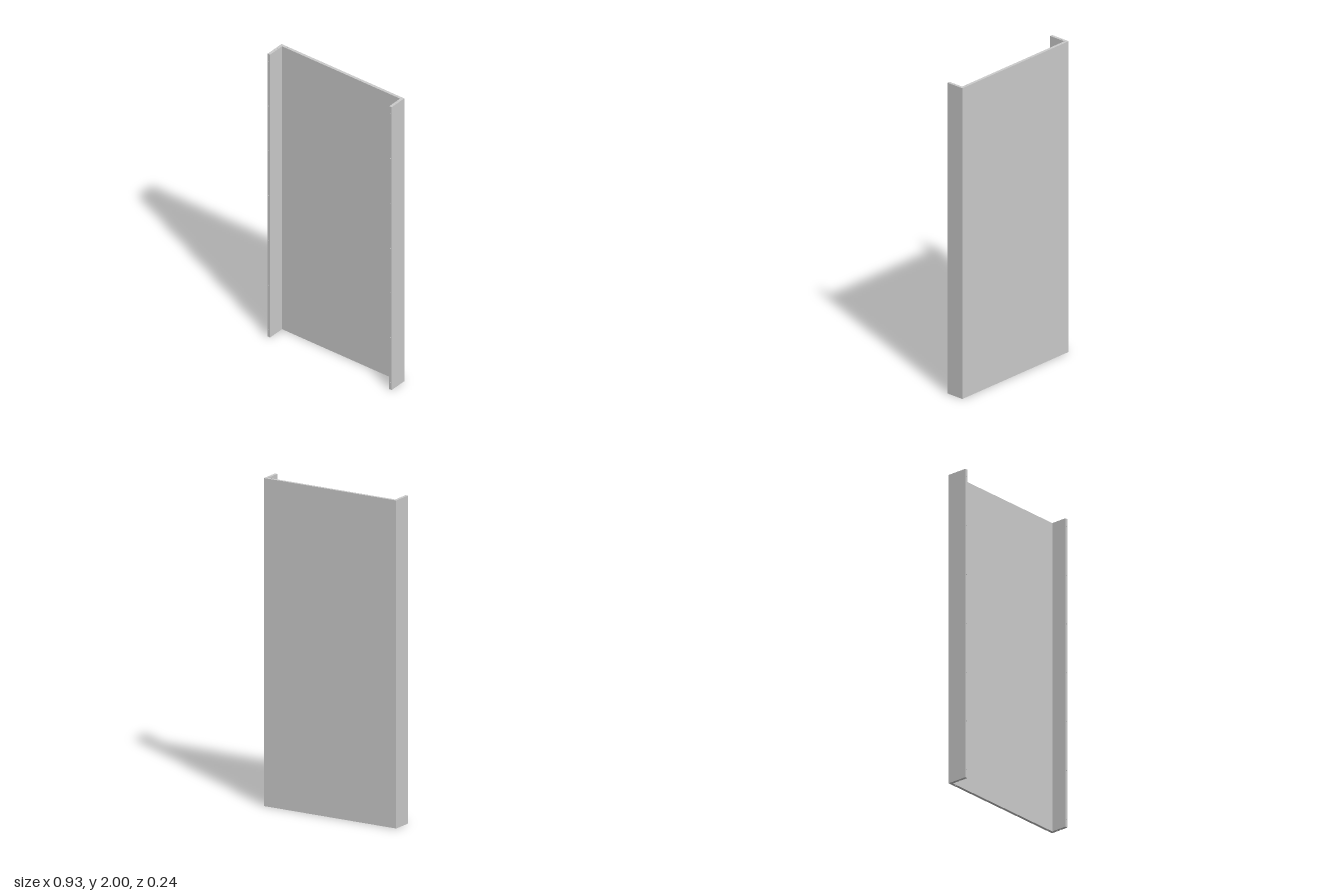
import * as THREE from 'three';

const T = 0.018;          // board thickness
const W = 0.923;          // panel width
const H = 2;              // height
const LEFT = 0.131, RIGHT = 0.12;  // flange depths
const D = 0.02;           // drilled hole depth
const R = 0.0028;         // drilled hole radius

function polygon(points, holes = []) {
  const shape = new THREE.Shape(points.map(([x, y]) => new THREE.Vector2(x, y)));
  for (const [x, y] of holes) {
    shape.holes.push(new THREE.Path().absarc(x, y, R, 0, Math.PI * 2, true));
  }
  return shape;
}

function extrude(shape, depth) {
  return new THREE.ExtrudeGeometry(shape, { depth, bevelEnabled: false, curveSegments: 6 });
}

export function createModel() {
  const model = new THREE.Group();
  const material = new THREE.MeshStandardMaterial({ color: 0xcccccc });
  const add = (name, geometry, x, y, z) => {
    const mesh = new THREE.Mesh(geometry, material);
    mesh.name = name;
    mesh.position.set(x, y, z);
    model.add(mesh);
  };

  // U-shaped plan: back panel with a flange at each side
  const plan = [
    [0, 0], [0, D - LEFT], [T, D - LEFT], [T, -T],
    [W - T, -T], [W - T, D - RIGHT], [W, D - RIGHT], [W, 0],
  ];
  const endHoles = [0.051, 0.326, 0.601, 0.876].map((u) => [u, -T / 2]);
  for (const v of [0.05, 0.075]) endHoles.push([T / 2, -v], [W - T / 2, -v]);

  // Solid middle, with drilled layers at the bottom and top
  const layers = [
    ['bottomEdge', 0, D, endHoles],
    ['panelAndFlanges', D, H - 2 * D, []],
    ['topEdge', H - D, D, endHoles],
  ];
  for (const [name, y, height, holes] of layers) {
    add(name, extrude(polygon(plan, holes), height).rotateX(-Math.PI / 2), 0, y, 0);
  }

  // Front edges of the flanges, with a row of drilled holes
  const rowHoles = [];
  for (let i = 0; i < 7; i++) rowHoles.push([T / 2, 0.05 + (i * 1.9) / 6]);
  const strip = extrude(polygon([[0, 0], [T, 0], [T, H], [0, H]], rowHoles), D);
  add('rightFlangeEdge', strip, 0, 0, LEFT - D);
  add('leftFlangeEdge', strip, W - T, 0, RIGHT - D);

  // The whole piece stands turned slightly about the vertical
  model.rotation.y = THREE.MathUtils.degToRad(6.75);
  model.position.set(-0.4655, 0, -0.0105);
  const root = new THREE.Group();
  root.name = 'channelPanel';
  root.add(model);
  return root;
}
